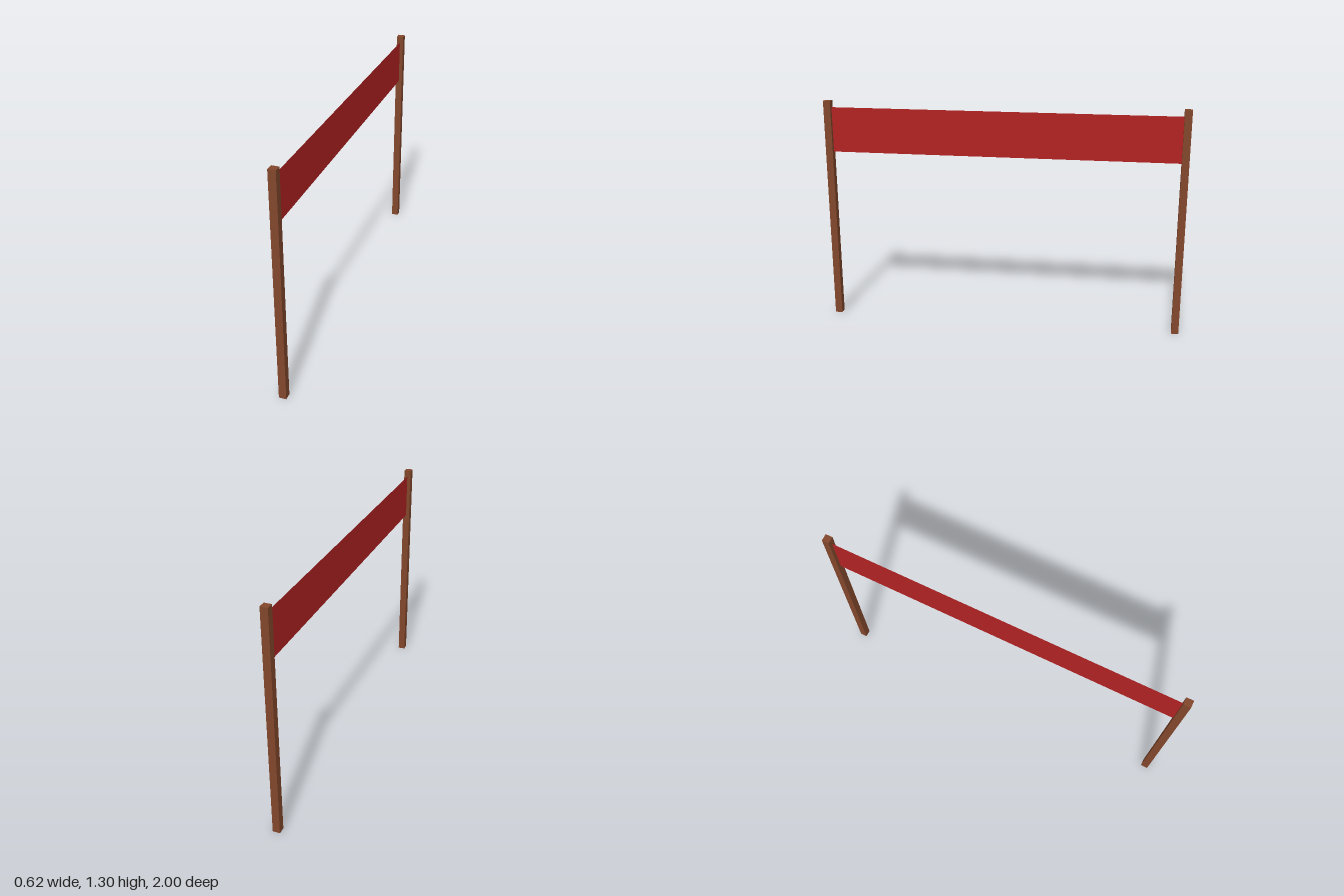
import * as THREE from 'three';

export function createModel() {
  const wood = new THREE.MeshStandardMaterial({ color: 0x82472c });
  wood.name = 'brown wood';
  const cloth = new THREE.MeshStandardMaterial({ color: 0xb22222, side: THREE.DoubleSide });
  cloth.name = 'red cloth';

  const postHeight = 1.303, postSize = 0.041, halfSpan = 1.0145;
  const bannerBottom = 1.005, bannerTop = 1.265;

  const model = new THREE.Group();
  model.name = 'bannerBetweenPosts';
  // The whole span is turned about the vertical axis
  model.rotation.y = -Math.atan2(0.283, 0.974);

  // Square posts at both ends
  const postGeometry = new THREE.BoxGeometry(postSize, postHeight, postSize);
  for (const [name, side] of [['frontPost', 1], ['backPost', -1]]) {
    const post = new THREE.Mesh(postGeometry, wood);
    post.name = name;
    post.position.set(0, postHeight / 2, side * halfSpan);
    model.add(post);
  }

  // Flat sheet stretched between the inner faces of the posts
  const banner = new THREE.Mesh(
    new THREE.PlaneGeometry(2 * halfSpan - postSize, bannerTop - bannerBottom), cloth);
  banner.name = 'banner';
  banner.rotation.y = Math.PI / 2;
  banner.position.y = (bannerTop + bannerBottom) / 2;
  model.add(banner);

  const root = new THREE.Group();
  root.add(model);
  return root;
}
